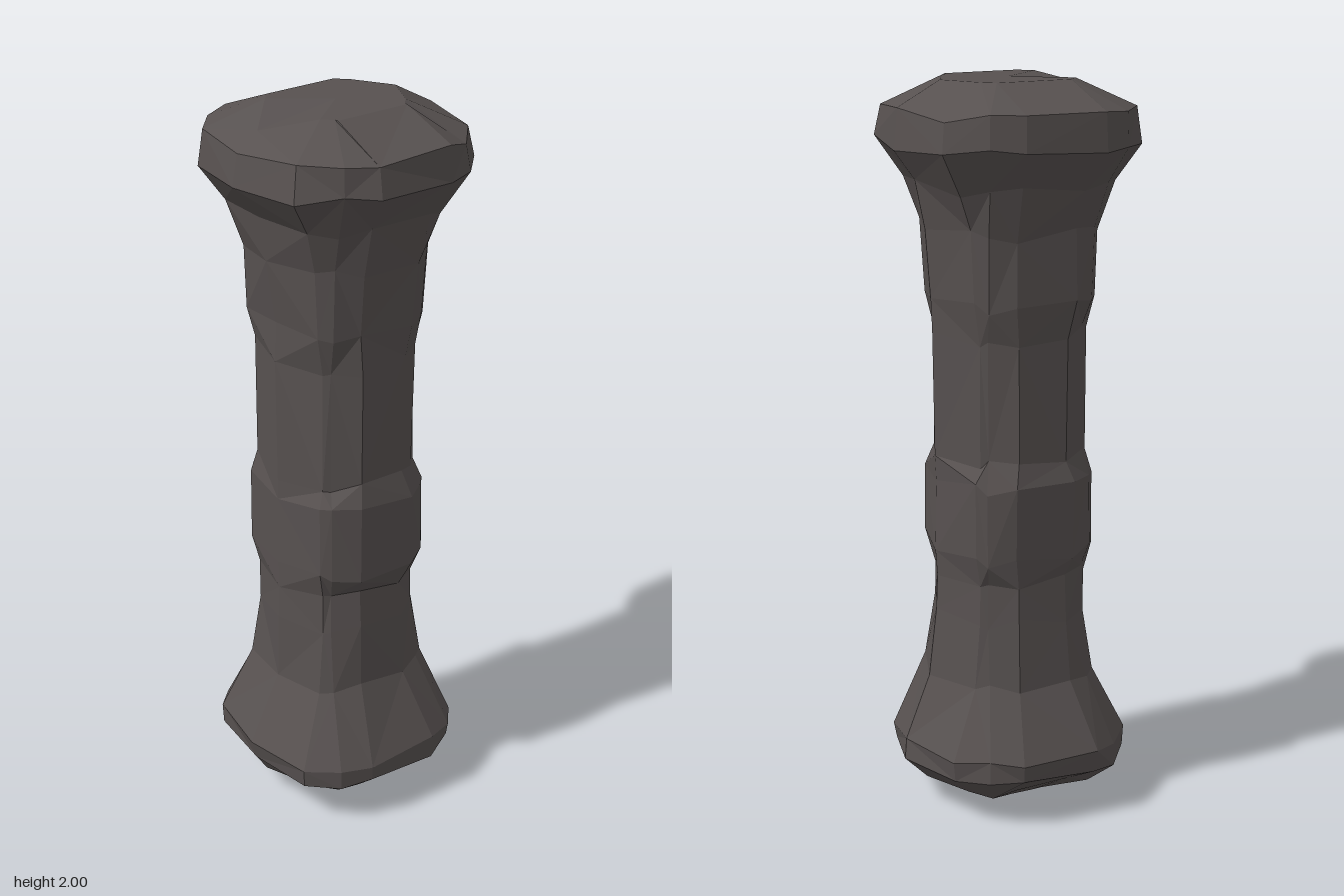
import * as THREE from 'three';

// Cross-sections from foot to crown:
// [height, +x reach, -x reach, +z reach, -z reach, corner radius, corner spread in degrees, front flat ratio]
const RINGS = [
  [0.00, 0.11, 0.09, 0.08, 0.08, 0.10, 6, 0.40],
  [0.06, 0.25, 0.25, 0.21, 0.21, 0.25, 8, 0.40],
  [0.13, 0.32, 0.29, 0.30, 0.30, 0.325, 9, 0.36],
  [0.18, 0.32, 0.31, 0.30, 0.31, 0.33, 9, 0.36],
  [0.37, 0.25, 0.21, 0.21, 0.22, 0.235, 5, 0.36],
  [0.55, 0.22, 0.20, 0.205, 0.205, 0.215, 3, 0.36],
  [0.66, 0.22, 0.20, 0.195, 0.20, 0.212, 3, 0.36],
  [0.73, 0.22, 0.20, 0.22, 0.21, 0.238, 4, 0.40],
  [0.93, 0.22, 0.20, 0.22, 0.22, 0.238, 4, 0.40],
  [0.99, 0.22, 0.20, 0.20, 0.20, 0.212, 3, 0.36],
  [1.33, 0.225, 0.20, 0.205, 0.205, 0.212, 3, 0.36],
  [1.42, 0.23, 0.20, 0.21, 0.22, 0.235, 5, 0.40],
  [1.61, 0.25, 0.23, 0.23, 0.22, 0.247, 6, 0.40],
  [1.73, 0.28, 0.25, 0.27, 0.26, 0.285, 8, 0.36],
  [1.84, 0.33, 0.335, 0.33, 0.32, 0.357, 10, 0.36],
  [1.92, 0.325, 0.31, 0.32, 0.32, 0.345, 10, 0.36],
  [2.00, 0.20, 0.25, 0.15, 0.145, 0.18, 6, 0.75],
];

// Small repeatable unevenness for the hewn surface
const rough = (i, j) => {
  const s = Math.sin(i * 12.99 + j * 78.23) * 43758.55;
  return (s - Math.floor(s)) * 2 - 1;
};

// One rounded-square section, running from +x round through +z
function section([y, px, nx, pz, nz, r, spread, flat], i) {
  const corner = (deg) => {
    const a = THREE.MathUtils.degToRad(deg);
    return [Math.cos(a) * r, Math.sin(a) * r];
  };
  const outline = [
    [px, 0], corner(45 - spread), corner(45 + spread),
    [pz * flat, pz], [-pz * flat, pz],
    corner(135 - spread), corner(135 + spread), [-nx, 0],
    corner(225 - spread), corner(225 + spread),
    [-nz * flat, -nz], [nz * flat, -nz],
    corner(315 - spread), corner(315 + spread),
  ];
  const end = i === 0 || i === RINGS.length - 1;
  return outline.map(([x, z], j) => {
    const k = end ? 1 : 1 + 0.022 * rough(i, j);
    const lift = end ? 0 : 0.017 * rough(i + 31, j);
    return new THREE.Vector3(x * k, y + lift, z * k);
  });
}

function pillarGeometry() {
  const rings = RINGS.map(section);
  const n = rings[0].length;
  const top = rings[rings.length - 1];
  top[7].y = 1.965; // worn edge of the crown
  const points = [];
  const face = (...v) => points.push(...v);

  // Sides, with alternating diagonals for a chipped look
  for (let i = 0; i < rings.length - 1; i++) {
    for (let j = 0; j < n; j++) {
      const k = (j + 1) % n;
      const a = rings[i][j], b = rings[i][k], c = rings[i + 1][k], d = rings[i + 1][j];
      if ((i + j) % 2) face(a, d, c, a, c, b);
      else face(a, d, b, b, d, c);
    }
  }
  // Crown and foot
  const crown = new THREE.Vector3(0, 2, 0), foot = new THREE.Vector3(0, 0, 0);
  for (let j = 0; j < n; j++) {
    const k = (j + 1) % n;
    face(crown, top[k], top[j]);
    face(foot, rings[0][j], rings[0][k]);
  }
  const geometry = new THREE.BufferGeometry().setFromPoints(points);
  geometry.computeVertexNormals(); // unshared corners keep every facet flat
  return geometry;
}

export function createModel() {
  const stone = new THREE.MeshStandardMaterial({ color: 0x575150 });
  stone.name = 'darkStone';
  const pillar = new THREE.Mesh(pillarGeometry(), stone);
  pillar.name = 'stonePillar';
  const group = new THREE.Group();
  group.name = 'pillar';
  group.add(pillar);
  return group;
}
